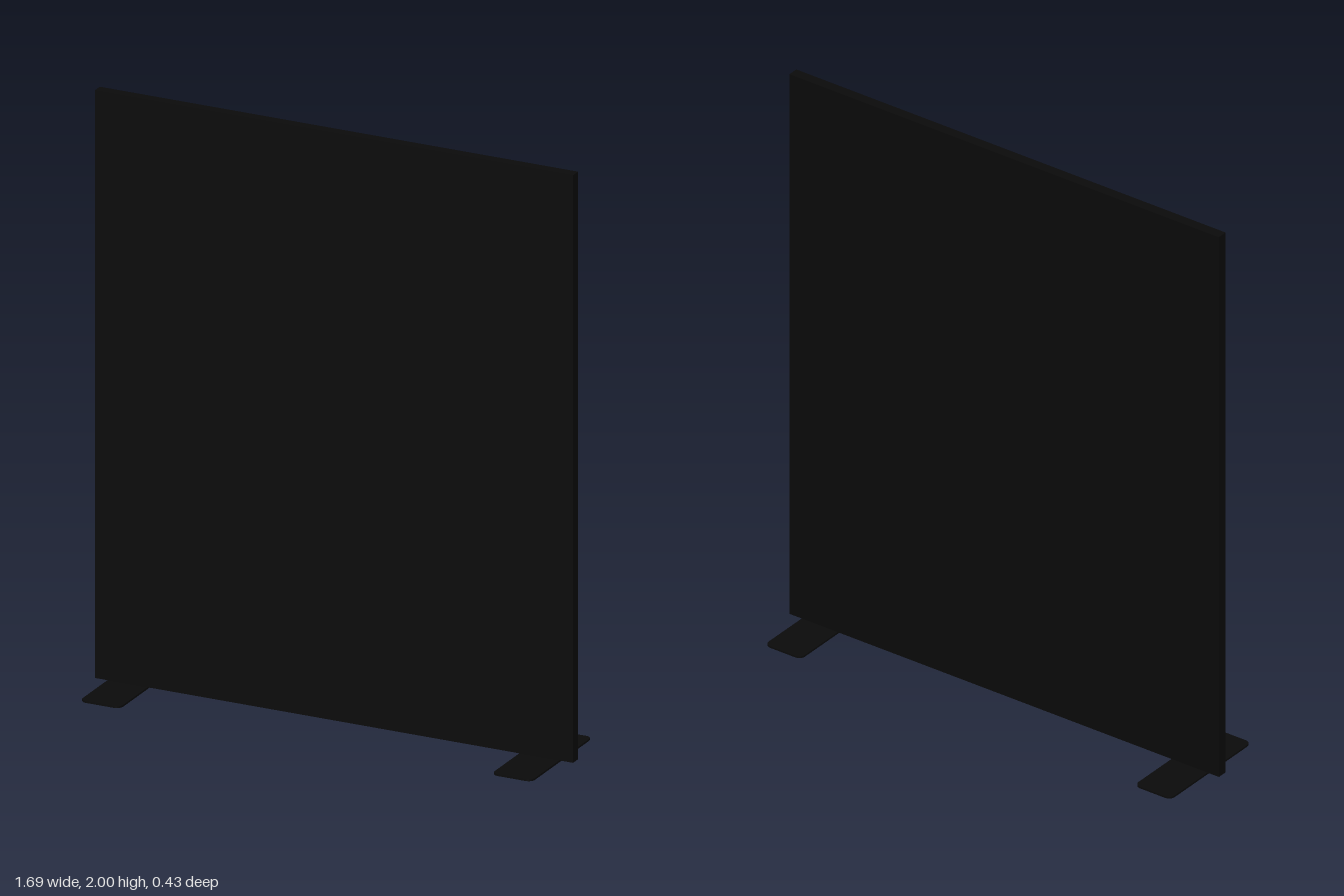
import * as THREE from 'three';

const FOOT_H = 0.006;

// Flat plate with rounded corners, lying on the ground
function footGeometry(w, d, r) {
  const x = w / 2, y = d / 2;
  const s = new THREE.Shape();
  s.moveTo(-x + r, -y);
  s.lineTo(x - r, -y);
  s.absarc(x - r, -y + r, r, -Math.PI / 2, 0);
  s.absarc(x - r, y - r, r, 0, Math.PI / 2);
  s.absarc(-x + r, y - r, r, Math.PI / 2, Math.PI);
  s.absarc(-x + r, -y + r, r, Math.PI, Math.PI * 1.5);
  const g = new THREE.ExtrudeGeometry(s, { depth: FOOT_H, bevelEnabled: false, curveSegments: 8 });
  return g.rotateX(-Math.PI / 2);
}

export function createModel() {
  const group = new THREE.Group();
  group.name = 'partitionScreen';
  const black = new THREE.MeshStandardMaterial({ color: 0x0a0a0a });

  // Upright panel resting on the feet
  const h = 2 - FOOT_H;
  const panel = new THREE.Mesh(new THREE.BoxGeometry(1.692, h, 0.036), black);
  panel.name = 'panel';
  panel.position.y = FOOT_H + h / 2;
  group.add(panel);

  // Two flat floor plates
  const geo = footGeometry(0.142, 0.43, 0.022);
  for (const [name, x] of [['leftFoot', 0.727], ['rightFoot', -0.73]]) {
    const foot = new THREE.Mesh(geo, black);
    foot.name = name;
    foot.position.x = x;
    group.add(foot);
  }
  return group;
}
